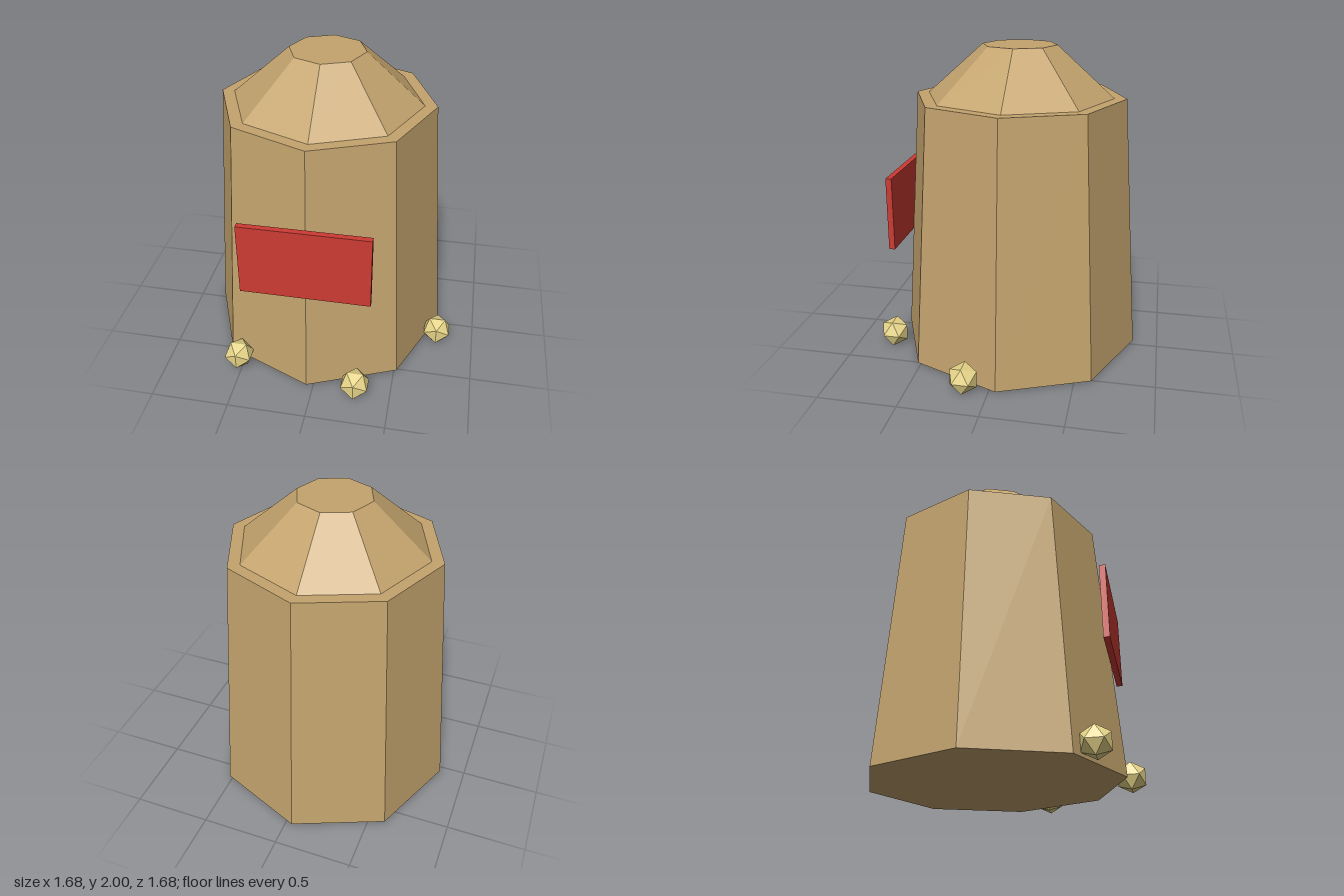
import * as THREE from 'three';

export function createModel() {
  const model = new THREE.Group();
  const material = (color) => new THREE.MeshStandardMaterial({ color, flatShading: true });
  const tan = material(0xc4a46e);
  const red = material(0xcc3b33);
  const gold = material(0xe6d488);

  const add = (name, geometry, mat, x, y, z) => {
    const mesh = new THREE.Mesh(geometry, mat);
    mesh.name = name;
    mesh.position.set(x, y, z);
    model.add(mesh);
  };

  // Octagonal tower, standing slightly off centre
  const cx = -0.044, cz = -0.044;
  const sides = 8, base = 0.01, eaves = 1.68, top = 2;
  add('towerBody', new THREE.CylinderGeometry(0.675, 0.795, eaves - base, sides),
    tan, cx, (base + eaves) / 2, cz);
  add('roof', new THREE.CylinderGeometry(0.236, 0.597, top - eaves, sides),
    tan, cx, (eaves + top) / 2, cz);

  // Flat sign on the front
  add('signPanel', new THREE.BoxGeometry(0.8, 0.475, 0.038), red, cx, 0.963, 0.715);

  // Faceted nuggets around the foot
  const nugget = new THREE.IcosahedronGeometry(0.1, 0);
  [[0.753, 0.155], [0.274, 0.755], [-0.524, 0.63]].forEach(([x, z], i) =>
    add(`nugget${i + 1}`, nugget, gold, x, 0.087, z));

  return model;
}
